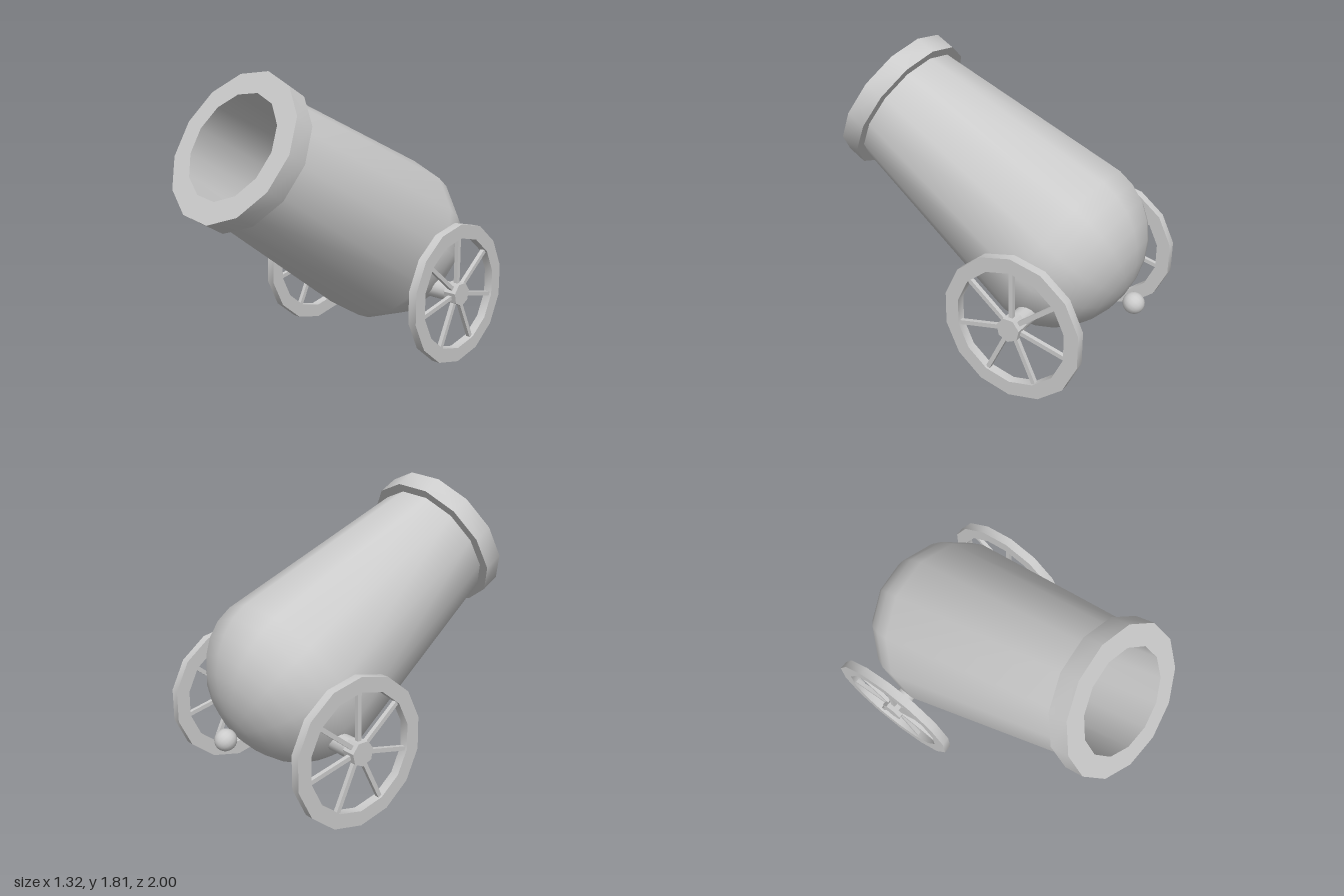
import * as THREE from 'three';
import { toCreasedNormals } from 'three/addons/utils/BufferGeometryUtils.js';

const material = new THREE.MeshStandardMaterial({ color: 0xcccccc });

function part(name, geometry, parent) {
  const mesh = new THREE.Mesh(geometry, material);
  mesh.name = name;
  parent.add(mesh);
  return mesh;
}

// Turned part about y, with a corner of the polygon on +x
function turned(points, sides) {
  const profile = points.map(([r, y]) => new THREE.Vector2(r, y));
  return toCreasedNormals(new THREE.LatheGeometry(profile, sides, Math.PI / 2), 0.7);
}

// Barrel: origin at the muzzle centre, +y towards the muzzle
function createBarrel() {
  const barrel = new THREE.Group();
  barrel.name = 'barrel';
  const sides = 13, wide = 0.545, shoulder = -1.42, domeDepth = 0.48;

  // Rounded breech running into the tapered tube
  const outer = [];
  const steps = 7;
  for (let i = 0; i <= steps; i++) {
    const a = (i / steps) * Math.PI / 2;
    outer.push([wide * Math.sin(a), shoulder - domeDepth * Math.cos(a)]);
  }
  outer.push([0.403, -0.12]);
  part('barrelBody', turned(outer, sides), barrel);

  part('muzzleRing', turned([[0.39, -0.127], [0.46, -0.127], [0.46, 0], [0.325, 0]], sides), barrel);
  part('bore', turned([[0.325, 0], [0.325, -1.35], [0, -1.35]], sides), barrel);

  // Round knob at the breech end
  part('breechKnob', new THREE.SphereGeometry(0.065, 16, 12), barrel).position.y = -1.972;

  barrel.rotation.x = Math.PI / 3;
  barrel.position.set(0, 1.42, 0.77);
  return barrel;
}

// Wheel: built about y, then turned so its axis lies along x
function createWheel(name) {
  const wheel = new THREE.Group();
  wheel.name = name;
  const h = 0.0275, inner = 0.352, outer = 0.44;
  part('rim', turned([[inner, -h], [outer, -h], [outer, h], [inner, h], [inner, -h]], 14), wheel);

  const hub = new THREE.CylinderGeometry(0.074, 0.074, 0.085, 7, 1, false, Math.PI / 2);
  part('hub', toCreasedNormals(hub, 0.7), wheel);

  // Seven spokes, the first pointing straight up
  for (let i = 0; i < 7; i++) {
    const spoke = new THREE.BoxGeometry(0.32, 0.026, 0.026);
    spoke.translate(-0.205, 0, 0);
    part('spoke', spoke, wheel).rotation.y = (i / 7) * Math.PI * 2;
  }
  wheel.rotation.z = -Math.PI / 2;
  return wheel;
}

export function createModel() {
  const model = new THREE.Group();
  model.name = 'cannon';
  model.add(createBarrel());

  const axleY = 0.443, axleZ = -0.48;
  for (const side of [1, -1]) {
    const wheel = createWheel(side > 0 ? 'leftWheel' : 'rightWheel');
    wheel.position.set(side * 0.6175, axleY, axleZ);
    model.add(wheel);
  }

  const axle = part('axle', new THREE.CylinderGeometry(0.06, 0.06, 1.2, 14), model);
  axle.rotation.z = Math.PI / 2;
  axle.position.set(0, axleY, axleZ);
  return model;
}
